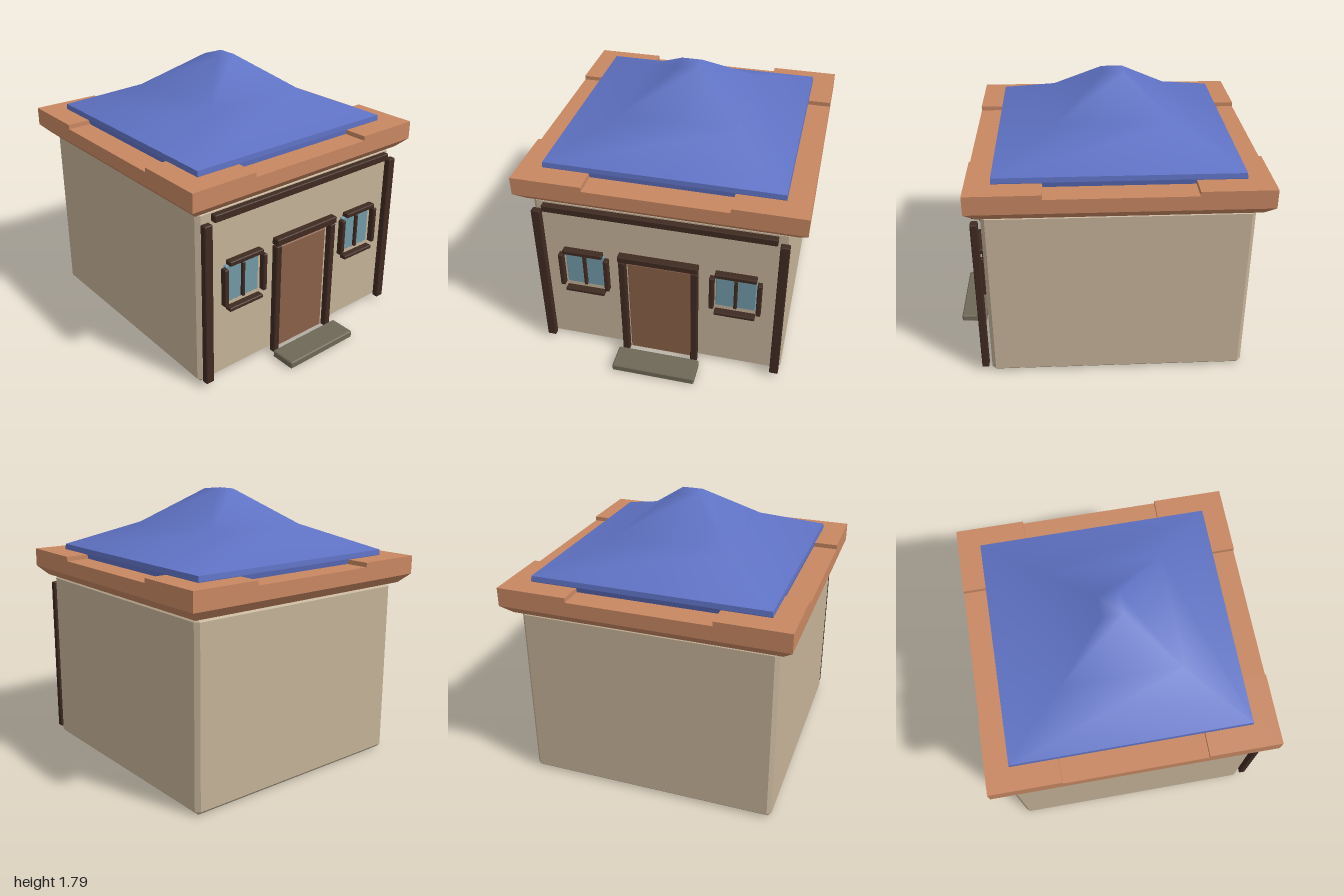
import * as THREE from 'three';
import { ConvexGeometry } from 'three/addons/geometries/ConvexGeometry.js';

const mat = (name, color) => {
  const m = new THREE.MeshStandardMaterial({ color });
  m.name = name;
  return m;
};

// Box from min/max corners with all edges chamfered by c
function chamferBox(x0, x1, y0, y1, z0, z1, c) {
  const h = [(x1 - x0) / 2, (y1 - y0) / 2, (z1 - z0) / 2];
  const pts = [];
  for (const sx of [-1, 1]) for (const sy of [-1, 1]) for (const sz of [-1, 1]) {
    for (let axis = 0; axis < 3; axis++) {
      const p = [h[0] - c, h[1] - c, h[2] - c];
      p[axis] = h[axis];
      pts.push(new THREE.Vector3(p[0] * sx, p[1] * sy, p[2] * sz));
    }
  }
  return new ConvexGeometry(pts).translate((x0 + x1) / 2, (y0 + y1) / 2, (z0 + z1) / 2);
}

// Stacked rectangles [halfX, zBack, zFront, y], bottom to top, with end caps
function loft(rings, smooth, bottomCap = true) {
  const pos = [], idx = [];
  for (const [x, zb, zf, y] of rings) pos.push(-x, y, zf, x, y, zf, x, y, zb, -x, y, zb);
  for (let r = 0; r < rings.length - 1; r++) {
    for (let i = 0; i < 4; i++) {
      const a = r * 4 + i, b = r * 4 + (i + 1) % 4;
      idx.push(a, b, b + 4, a, b + 4, a + 4);
    }
  }
  const t = (rings.length - 1) * 4;
  idx.push(t, t + 1, t + 2, t, t + 2, t + 3);
  if (bottomCap) idx.push(0, 2, 1, 0, 3, 2);
  let g = new THREE.BufferGeometry();
  g.setAttribute('position', new THREE.Float32BufferAttribute(pos, 3));
  g.setIndex(idx);
  if (!smooth) g = g.toNonIndexed();
  g.computeVertexNormals();
  return g;
}

export function createModel() {
  const house = new THREE.Group();
  house.name = 'house';

  const plaster = mat('plaster', 0xc4b298);
  const clay = mat('clay', 0xc78762);
  const blue = mat('roofBlue', 0x5f72c4);
  const wood = mat('darkWood', 0x3f2a21);
  const doorWood = mat('doorWood', 0x8a6048);
  const glass = mat('glass', 0x7199a6);
  const stone = mat('stone', 0x6f6857);

  const add = (name, geometry, material, parent = house) => {
    const m = new THREE.Mesh(geometry, material);
    m.name = name;
    parent.add(m);
    return m;
  };
  const beam = (name, x0, x1, y0, y1, z0, z1, material = wood, parent = house) =>
    add(name, chamferBox(x0, x1, y0, y1, z0, z1, 0.005), material, parent);

  // Walls
  add('walls', chamferBox(-0.82, 0.82, 0, 1.185, -0.91, 0.745, 0.025), plaster);

  // Eave slab with sloped underside and raised corner tiles
  add('eave', loft([
    [0.85, -0.94, 0.77, 1.185],
    [0.91, -1, 0.83, 1.245],
    [0.91, -1, 0.83, 1.337],
  ], false), clay);
  for (const s of [-1, 1]) {
    for (const [z0, z1] of [[-1, -0.545], [0.37, 0.83]]) {
      const g = new THREE.BoxGeometry(0.455, 0.03, z1 - z0);
      add('eaveCorner', g.translate(s * 0.6825, 1.351, (z0 + z1) / 2), clay);
    }
  }

  // Roof: upright rim, then flared slopes up to a small flat cap
  add('roofRim', loft([
    [0.75, -0.84, 0.67, 1.33],
    [0.76, -0.85, 0.675, 1.37],
    [0.757, -0.847, 0.673, 1.403],
  ], false), blue);
  add('roofSlopes', loft([
    [0.757, -0.847, 0.673, 1.403],
    [0.38, -0.465, 0.297, 1.566],
    [0.067, -0.153, -0.018, 1.795],
  ], true, false), blue);

  // Timber on the front wall
  beam('topBeam', -0.74, 0.74, 1.122, 1.17, 0.765, 0.81);
  for (const s of [-1, 1]) {
    const c = s * 0.784;
    beam('cornerPost', c - 0.029, c + 0.029, 0.03, 1.12, 0.765, 0.81);
  }

  // Door with frame and step
  beam('door', -0.21, 0.21, 0.01, 0.765, 0.735, 0.768, doorWood);
  for (const s of [-1, 1]) {
    const c = s * 0.237;
    beam('doorJamb', c - 0.022, c + 0.022, 0.01, 0.8, 0.765, 0.812);
  }
  beam('lintel', -0.26, 0.26, 0.808, 0.854, 0.765, 0.82);
  add('step', chamferBox(-0.28, 0.28, 0, 0.05, 0.825, 1, 0.007), stone);

  // Windows
  for (const s of [-1, 1]) {
    const win = new THREE.Group();
    win.name = s > 0 ? 'leftWindow' : 'rightWindow';
    win.position.x = s * 0.5;
    house.add(win);
    beam('pane', -0.13, 0.13, 0.53, 0.783, 0.735, 0.765, glass, win);
    beam('mullion', -0.011, 0.011, 0.535, 0.775, 0.76, 0.785, wood, win);
    beam('head', -0.132, 0.132, 0.8, 0.832, 0.765, 0.815, wood, win);
    beam('sill', -0.132, 0.132, 0.485, 0.512, 0.765, 0.815, wood, win);
    for (const t of [-1, 1]) {
      const c = t * 0.152;
      beam('sideTrim', c - 0.015, c + 0.015, 0.528, 0.785, 0.765, 0.81, wood, win);
    }
  }
  return house;
}
